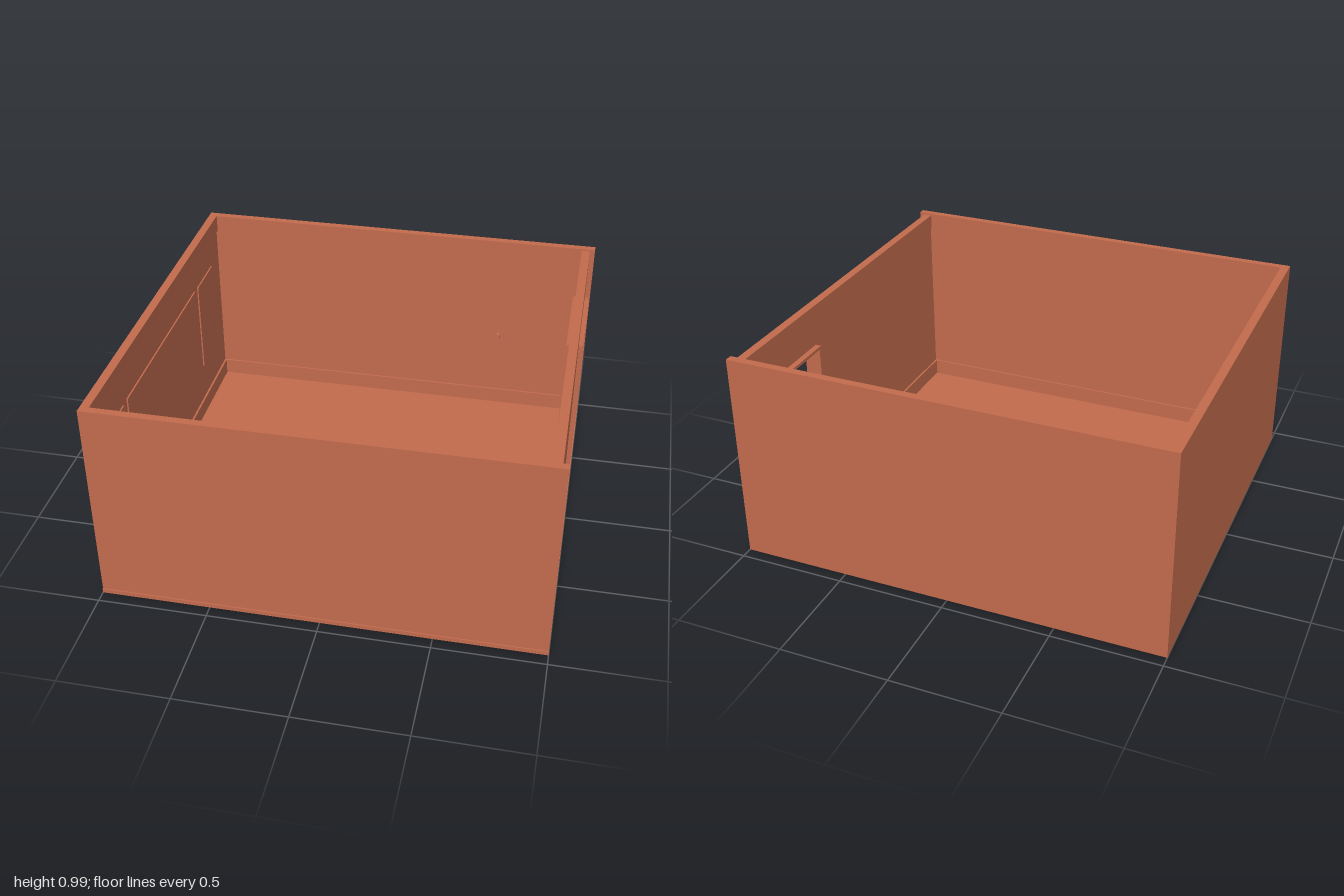
import * as THREE from 'three';

export function createModel() {
  const room = new THREE.Group();
  room.name = 'room';
  const material = new THREE.MeshStandardMaterial({ color: 0xc26b4d });

  // box given by its minimum and maximum corners
  function block(name, [x0, y0, z0], [x1, y1, z1], parent = room) {
    const mesh = new THREE.Mesh(new THREE.BoxGeometry(x1 - x0, y1 - y0, z1 - z0), material);
    mesh.position.set((x0 + x1) / 2, (y0 + y1) / 2, (z0 + z1) / 2);
    mesh.name = name;
    parent.add(mesh);
    return mesh;
  }

  const floorTop = 0.02, top = 0.985, sideTop = 0.977;
  const baseTop = 0.1, crownBottom = 0.9;
  const zFront = 0.915, zBack = -0.92;

  block('floor', [-1, 0, -0.946], [1, floorTop, 0.946]);

  // solid walls
  block('frontWall', [-1, floorTop, zFront], [1, top, 0.94]);
  block('backWall', [-1, floorTop, -0.946], [1, top, zBack]);
  block('rightWall', [-1, floorTop, zBack], [-0.97, top, zFront]);

  // wall with the doorway
  const door = { z0: -0.785, z1: -0.34, top: 0.76 };
  const outline = new THREE.Shape();
  outline.moveTo(zBack, floorTop);
  outline.lineTo(door.z0, floorTop);
  outline.lineTo(door.z0, door.top);
  outline.lineTo(door.z1, door.top);
  outline.lineTo(door.z1, floorTop);
  outline.lineTo(zFront, floorTop);
  outline.lineTo(zFront, sideTop);
  outline.lineTo(zBack, sideTop);
  const doorWallGeometry = new THREE.ExtrudeGeometry(outline, { depth: 0.03, bevelEnabled: false });
  doorWallGeometry.rotateY(-Math.PI / 2);
  doorWallGeometry.translate(0.975, 0, 0);
  const doorWall = new THREE.Mesh(doorWallGeometry, material);
  doorWall.name = 'doorWall';
  room.add(doorWall);

  // door frame standing proud of both faces of the wall
  const frame = new THREE.Group();
  frame.name = 'doorFrame';
  room.add(frame);
  const fx0 = 0.917, fx1 = 0.996, fw = 0.015;
  block('backJamb', [fx0, floorTop, door.z0 - fw], [fx1, door.top, door.z0], frame);
  block('frontJamb', [fx0, floorTop, door.z1], [fx1, door.top, door.z1 + fw], frame);
  block('lintel', [fx0, door.top, door.z0 - fw], [fx1, door.top + fw, door.z1 + fw], frame);

  // skirting and crown strips along the inner faces
  for (const [name, y0, y1] of [['skirting', floorTop, baseTop], ['crown', crownBottom, top]]) {
    block(name + 'Front', [-0.97, y0, 0.905], [1, y1, zFront]);
    block(name + 'Back', [-0.97, y0, zBack], [1, y1, -0.91]);
    block(name + 'Right', [-0.97, y0, -0.91], [-0.96, y1, 0.905]);
  }
  block('crownLeft', [0.935, crownBottom, -0.91], [0.945, sideTop, 0.905]);
  block('skirtingLeftBack', [0.935, floorTop, -0.91], [0.945, baseTop, door.z0 - fw]);
  block('skirtingLeftFront', [0.935, floorTop, door.z1 + fw], [0.945, baseTop, 0.905]);

  // boards on the wall opposite the door
  block('mainBoard', [-0.97, 0.275, -0.5], [-0.963, 0.76, 0.5]);
  block('sideBoardBack', [-0.97, 0.287, -0.785], [-0.963, 0.755, -0.545]);
  block('sideBoardFront', [-0.97, 0.287, 0.545], [-0.963, 0.755, 0.785]);

  // small switch on the back wall
  block('wallSwitch', [0.54, 0.42, zBack], [0.555, 0.45, -0.895]);

  return room;
}
